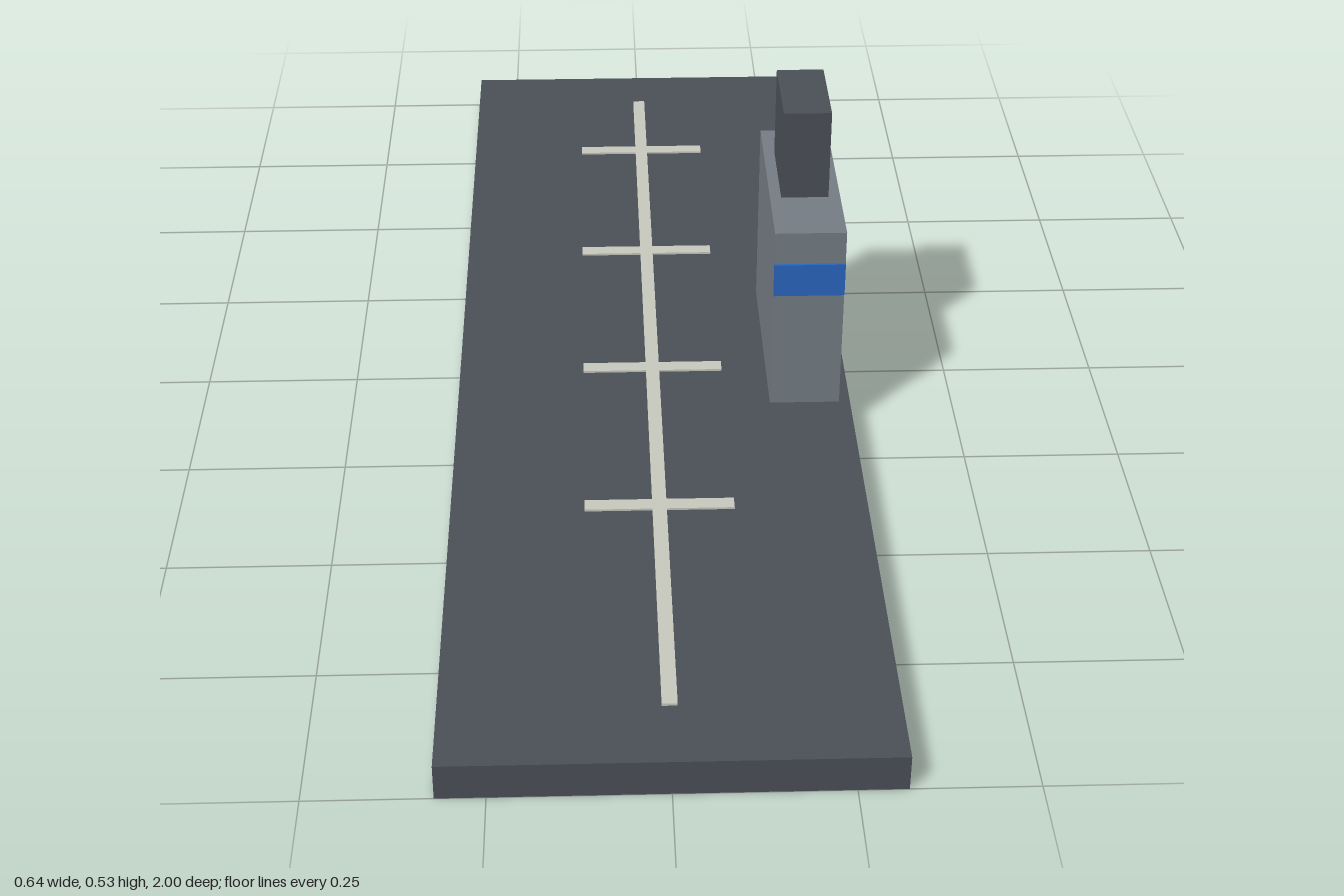
import * as THREE from 'three';

export function createModel() {
  const model = new THREE.Group();
  const dark = new THREE.MeshStandardMaterial({ name: 'dark slate', color: 0x4b5158 });
  const grey = new THREE.MeshStandardMaterial({ name: 'mid grey', color: 0x757d85 });
  const blue = new THREE.MeshStandardMaterial({ name: 'blue', color: 0x2b66c2 });
  const pale = new THREE.MeshStandardMaterial({ name: 'pale marking', color: 0xc8cac0 });

  // Box from its minimum and maximum corners
  function box(name, material, [x0, y0, z0], [x1, y1, z1]) {
    const mesh = new THREE.Mesh(new THREE.BoxGeometry(x1 - x0, y1 - y0, z1 - z0), material);
    mesh.position.set((x0 + x1) / 2, (y0 + y1) / 2, (z0 + z1) / 2);
    mesh.name = name;
    model.add(mesh);
  }

  // Deck slab
  const deck = 0.057;
  box('deck', dark, [-0.32, 0, -1], [0.32, deck, 1]);

  // Centre line and cross marks
  box('centreLine', pale, [-0.011, deck, -0.89], [0.011, deck + 0.004, 0.89]);
  [-0.69, -0.313, 0.063, 0.44].forEach((z, i) =>
    box(`crossMark${i + 1}`, pale, [-0.115, deck, z - 0.012], [0.115, deck + 0.0035, z + 0.012]));

  // Tower and its upper block
  box('tower', grey, [0.189, deck, -0.17], [0.302, 0.378, 0.17]);
  box('towerTop', dark, [0.207, 0.378, -0.095], [0.283, 0.53, 0.057]);

  // Blue bands on the tower's two ends
  box('frontBand', blue, [0.189, 0.265, 0.17], [0.302, 0.322, 0.174]);
  box('backBand', blue, [0.189, 0.265, -0.174], [0.302, 0.322, -0.17]);

  return model;
}
